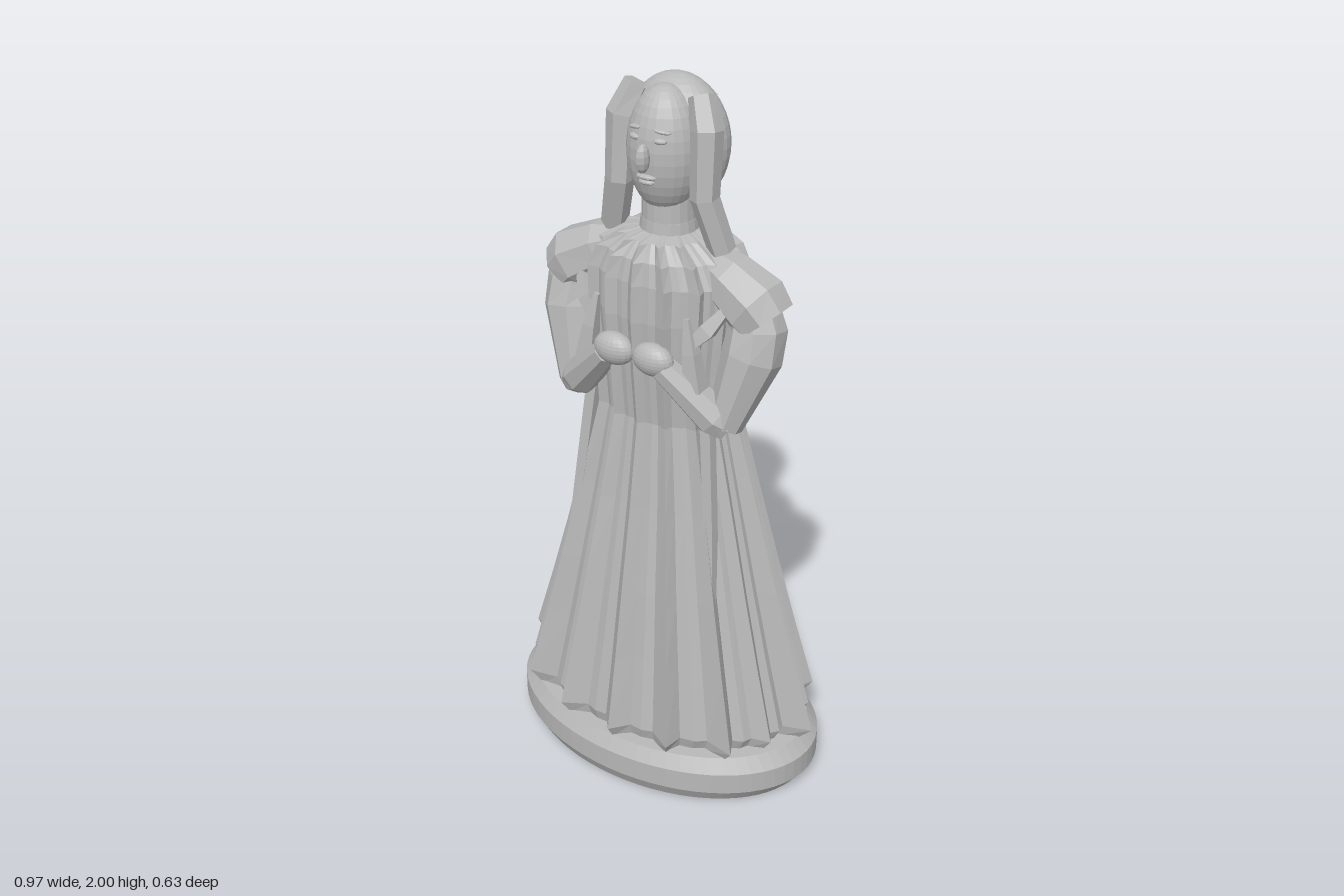
import * as THREE from 'three';

const stone = new THREE.MeshStandardMaterial({ color: 0xb8b8b8, flatShading: true });
stone.name = 'grey stone';

// Skin a stack of closed rings (counter-clockwise about the stacking direction) and cap both ends
function skin(rings) {
  const pos = [];
  const tri = (a, b, c) => pos.push(...a.toArray(), ...b.toArray(), ...c.toArray());
  const n = rings[0].length;
  for (let r = 0; r < rings.length - 1; r++) {
    for (let i = 0; i < n; i++) {
      const j = (i + 1) % n, lo = rings[r], hi = rings[r + 1];
      tri(lo[i], lo[j], hi[j]);
      tri(lo[i], hi[j], hi[i]);
    }
  }
  const cap = (ring, flip) => {
    const c = ring.reduce((s, p) => s.add(p), new THREE.Vector3()).divideScalar(n);
    ring.forEach((p, i) => {
      const q = ring[(i + 1) % n];
      if (flip) tri(c, q, p); else tri(c, p, q);
    });
  };
  cap(rings[0], true);
  cap(rings[rings.length - 1], false);
  const g = new THREE.BufferGeometry();
  g.setAttribute('position', new THREE.Float32BufferAttribute(pos, 3));
  g.computeVertexNormals();
  return g;
}

// Faceted limb through stations [x, y, z, radius]
function limb(stations, sides, side = 1) {
  const pts = stations.map(([x, y, z]) => new THREE.Vector3(x * side, y, z));
  const rings = pts.map((p, k) => {
    const t = pts[Math.min(k + 1, pts.length - 1)].clone().sub(pts[Math.max(k - 1, 0)]).normalize();
    const u = new THREE.Vector3(0, 0, 1).cross(t).normalize();
    const v = t.clone().cross(u);
    return Array.from({ length: sides }, (_, i) => {
      const a = ((i + 0.5) / sides) * Math.PI * 2, r = stations[k][3];
      return p.clone().addScaledVector(u, Math.cos(a) * r).addScaledVector(v, Math.sin(a) * r);
    });
  });
  return skin(rings);
}

// Pleated gown: sharp ridges at chosen angles with flatter panels between
function gownGeometry() {
  const half = [[0, 1], [22, 1], [46, 1], [68, 0.5], [90, 1], [111, 0.5], [129, 1], [158, 1]];
  const ridges = [...half, [180, 1], ...half.slice(1).reverse().map(([a, h]) => [360 - a, h])];
  const outline = [];
  ridges.forEach(([a, h], k) => {
    const next = k + 1 < ridges.length ? ridges[k + 1][0] : 360;
    outline.push([a - 6, 0], [a, h], [a + 6, 0], [(a + next) / 2, 0.12]);
  });
  // y, half width, half depth, z centre, pleat depth
  const rows = [
    [0.135, 0.44, 0.285, 0, 0.12], [0.18, 0.485, 0.312, 0, 0.16], [0.4, 0.415, 0.27, 0, 0.15],
    [0.6, 0.355, 0.235, 0, 0.14], [0.85, 0.285, 0.19, 0, 0.13], [1.1, 0.215, 0.152, 0, 0.11],
    [1.25, 0.218, 0.165, 0, 0.1], [1.4, 0.235, 0.175, 0, 0.1], [1.5, 0.24, 0.172, 0, 0.11],
    [1.56, 0.205, 0.165, -0.002, 0.13], [1.6, 0.135, 0.14, -0.005, 0.16], [1.61, 0.075, 0.08, -0.01, 0.1]
  ];
  return skin(rows.map(([y, rx, rz, zc, d]) => outline.map(([deg, h]) => {
    const a = THREE.MathUtils.degToRad(deg), r = 1 - d * (1 - h);
    return new THREE.Vector3(Math.sin(a) * rx * r, y, Math.cos(a) * rz * r + zc);
  })));
}

export function createModel() {
  const model = new THREE.Group();
  model.name = 'robedStatue';
  const add = (name, geometry, parent = model) => {
    const m = new THREE.Mesh(geometry, stone);
    m.name = name;
    parent.add(m);
    return m;
  };
  const ball = (name, [x, y, z], [rx, ry, rz], parent, detail = 24) => {
    const m = add(name, new THREE.SphereGeometry(1, detail, Math.round(detail * 0.7)), parent);
    m.position.set(x, y, z);
    m.scale.set(rx, ry, rz);
    return m;
  };

  // Oval plinth with bevelled edges
  const profile = [[0, 0], [0.445, 0], [0.475, 0.04], [0.475, 0.105], [0.44, 0.145], [0, 0.145]];
  const base = add('base', new THREE.LatheGeometry(profile.map(p => new THREE.Vector2(...p)), 64));
  base.scale.z = 0.315 / 0.475;

  add('gown', gownGeometry());

  // Neck and collar
  const neck = add('neck', new THREE.CylinderGeometry(0.07, 0.075, 0.16, 20));
  neck.position.set(0, 1.64, -0.005);
  const collar = add('collar', new THREE.CylinderGeometry(0.074, 0.08, 0.045, 20));
  collar.position.set(0, 1.615, -0.005);

  // Head, back hair and face
  const head = new THREE.Group();
  head.name = 'head';
  model.add(head);
  ball('face', [0, 1.82, 0.015], [0.1, 0.165, 0.092], head);
  ball('backHair', [0, 1.828, -0.042], [0.145, 0.172, 0.1], head, 28);
  ball('nose', [0, 1.822, 0.115], [0.017, 0.038, 0.024], head, 10);
  ball('upperLip', [0, 1.771, 0.1], [0.03, 0.008, 0.014], head, 10);
  ball('lowerLip', [0, 1.757, 0.097], [0.024, 0.008, 0.014], head, 10);

  for (const s of [1, -1]) {
    const label = s > 0 ? 'left' : 'right';
    const eye = ball(label + 'Eye', [0.038 * s, 1.867, 0.094], [0.018, 0.008, 0.01], head, 10);
    const brow = ball(label + 'Brow', [0.04 * s, 1.89, 0.088], [0.023, 0.006, 0.01], head, 10);
    eye.rotation.y = brow.rotation.y = 0.35 * s;
    brow.rotation.z = -0.15 * s;

    // Side lock falling from the crown to the shoulder
    add(label + 'HairLock', limb([
      [0.095, 1.965, -0.005, 0.036], [0.125, 1.89, 0.02, 0.042],
      [0.128, 1.72, 0.032, 0.038], [0.165, 1.58, 0.005, 0.036]
    ], 6, s));

    // Draped shoulder, upper arm, forearm and hand
    add(label + 'Shoulder', limb([
      [0.09, 1.555, 0, 0.04], [0.19, 1.51, 0.01, 0.075], [0.275, 1.46, 0.015, 0.09], [0.305, 1.425, 0.015, 0.08]
    ], 8, s));
    add(label + 'UpperArm', limb([
      [0.265, 1.47, 0.01, 0.06], [0.283, 1.4, 0.02, 0.077], [0.28, 1.33, 0.04, 0.08], [0.235, 1.14, 0.095, 0.048]
    ], 8, s));
    add(label + 'Forearm', limb([
      [0.245, 1.14, 0.09, 0.045], [0.21, 1.165, 0.105, 0.055], [0.085, 1.295, 0.16, 0.036]
    ], 8, s));
    ball(label + 'Hand', [0.06 * s, 1.31, 0.163], [0.06, 0.045, 0.036], model, 20);

    // Folds of cloth at the inner elbow and down the skirt
    add(label + 'SleeveFold', limb([[0.17, 1.24, 0.13, 0.035], [0.155, 1.34, 0.13, 0.025], [0.138, 1.43, 0.125, 0.01]], 4, s));
    add(label + 'ChestFold', limb([[0.15, 1.36, 0.12, 0.02], [0.185, 1.4, 0.1, 0.028], [0.225, 1.46, 0.075, 0.015]], 4, s));
    add(label + 'SkirtFold', limb([[0.255, 0.42, 0.172, 0.008], [0.215, 0.8, 0.122, 0.02], [0.175, 1.2, 0.085, 0.022]], 4, s));
  }
  return model;
}
